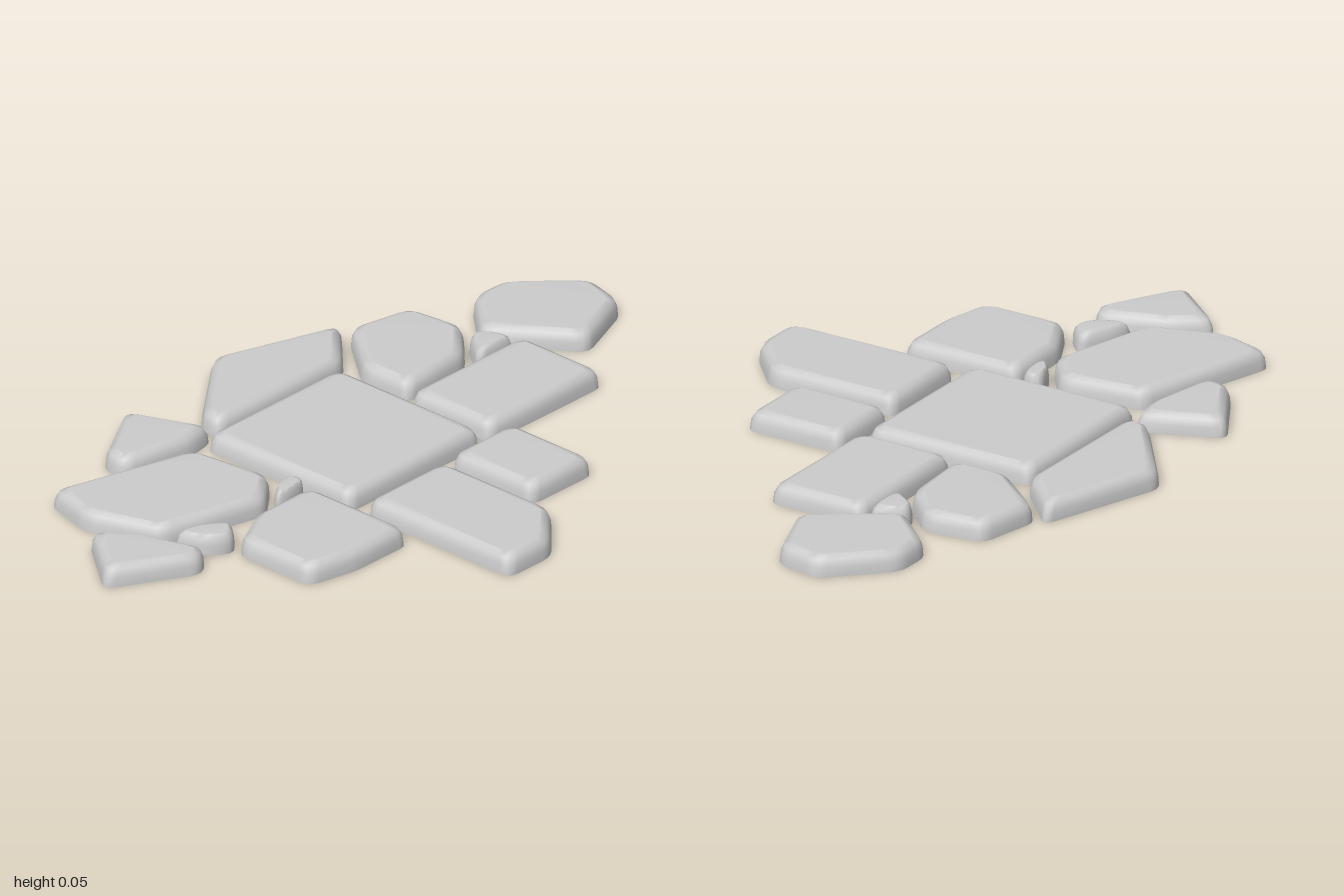
import * as THREE from 'three';

const rect = (x0, z0, x1, z1) => [[x0, z0], [x1, z0], [x1, z1], [x0, z1]];

// Plan outlines as [x, z] corners, clockwise seen from above
const STONES = {
  backStone: [[-.243, -1.007], [-.11, -.975], [-.03, -.768], [-.26, -.605], [-.402, -.736], [-.402, -.85]],
  backSlab: rect(-.16, -.658, .122, -.236),
  backRightStone: [[-.475, -.58], [-.305, -.6], [-.195, -.485], [-.178, -.256], [-.34, -.256], [-.513, -.396]],
  backPebble: [[-.165, -.648], [-.165, -.498], [-.255, -.56], [-.26, -.605]],
  rightShard: [[-.54, -.398], [-.394, -.247], [-.396, .213], [-.465, .211], [-.66, -.042]],
  centreSlab: rect(-.38, -.212, .118, .283),
  leftSmallSlab: rect(.145, -.292, .429, -.06),
  leftLongSlab: [[.159, -.021], [.534, -.021], [.655, .112], [.655, .269], [.159, .269]],
  frontLeftStone: [[.002, .309], [.345, .309], [.345, .504], [.314, .646], [.07, .646], [.002, .514]],
  frontRightStone: [[-.402, .232], [-.384, .33], [-.422, .536], [-.5, .536], [-.626, .324]],
  frontSlab: [[-.35, .359], [-.112, .33], [-.026, .438], [-.106, .744], [-.31, .814], [-.468, .77]],
  innerPebble: [[-.082, .3], [-.02, .292], [-.008, .37], [-.02, .412], [-.055, .38]],
  frontPebble: [[-.012, .578], [.055, .642], [.012, .706], [-.08, .738], [-.065, .67]],
  frontStone: [[.032, .727], [.071, .785], [-.058, 1.012], [-.245, .862], [-.148, .788]],
};

// Shell profile from the open underside up to the top: [inset, height]
const PROFILE = [[0, 0], [.002, .025], [.01, .044], [.026, .053]];
const CORNER_STEPS = 3;

// Moves every edge inwards by d, with mitred corners
function inset(points, d) {
  const n = points.length;
  return points.map((p, i) => {
    const a = p.clone().sub(points[(i + n - 1) % n]).normalize();
    const b = points[(i + 1) % n].clone().sub(p).normalize();
    const na = new THREE.Vector2(-a.y, a.x);
    const nb = new THREE.Vector2(-b.y, b.x);
    return na.clone().add(nb).multiplyScalar(d / (1 + na.dot(nb))).add(p);
  });
}

// Replaces every corner by a short curve
function roundCorners(points, radius) {
  const n = points.length;
  return points.flatMap((p, i) => {
    const towards = q => p.clone().lerp(q, Math.min(radius / p.distanceTo(q), .4));
    const start = towards(points[(i + n - 1) % n]);
    const end = towards(points[(i + 1) % n]);
    return new THREE.QuadraticBezierCurve(start, p, end).getPoints(CORNER_STEPS);
  });
}

// Stacks the rounded outlines and closes the top; the underside stays hollow
function stoneGeometry(outline) {
  const base = outline.map(([x, z]) => new THREE.Vector2(x, z));
  const scale = Math.min(1, Math.sqrt(THREE.ShapeUtils.area(base)) / .2);
  const rings = PROFILE.map(([d]) => roundCorners(inset(base, d * scale), .032));
  const n = rings[0].length;
  const positions = [];
  const index = [];

  rings.forEach((ring, k) => ring.forEach(p => positions.push(p.x, PROFILE[k][1], p.y)));
  for (let k = 0; k < rings.length - 1; k++) {
    for (let i = 0; i < n; i++) {
      const j = (i + 1) % n;
      const a = k * n + i, b = k * n + j;
      index.push(a, a + n, b, b, a + n, b + n);
    }
  }
  const top = (rings.length - 1) * n;
  for (const [a, b, c] of THREE.ShapeUtils.triangulateShape(rings[rings.length - 1], [])) {
    index.push(top + a, top + c, top + b);
  }

  const geometry = new THREE.BufferGeometry();
  geometry.setAttribute('position', new THREE.Float32BufferAttribute(positions, 3));
  geometry.setIndex(index);
  geometry.computeVertexNormals();
  return geometry;
}

export function createModel() {
  const group = new THREE.Group();
  group.name = 'steppingStones';
  const material = new THREE.MeshStandardMaterial({ color: 0xcccccc, side: THREE.DoubleSide });
  for (const [name, outline] of Object.entries(STONES)) {
    const stone = new THREE.Mesh(stoneGeometry(outline), material);
    stone.name = name;
    group.add(stone);
  }
  return group;
}
